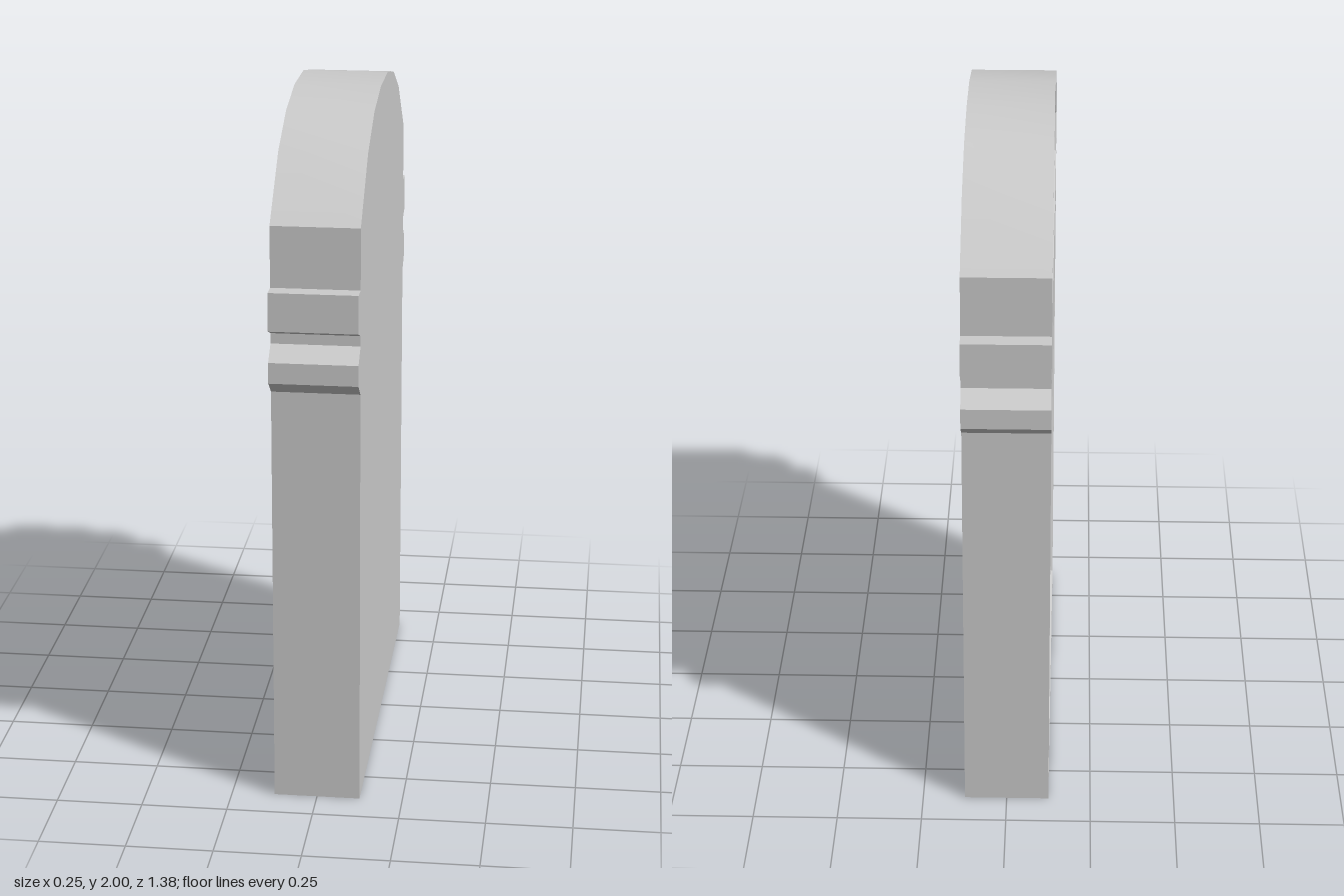
import * as THREE from 'three';
import { mergeGeometries, toCreasedNormals } from 'three/addons/utils/BufferGeometryUtils.js';

const HALF = 0.125;   // half thickness of the slab
const BORDER = 0.03;  // rim left around each recess
const BEVEL = 0.022;  // width and depth of the recess bevel

const pts = (list) => list.map(([u, v]) => new THREE.Vector2(u, v));

// Move every edge of a counter-clockwise loop inwards by d
function inset(loop, d) {
  const n = loop.length;
  return loop.map((p, i) => {
    const a = p.clone().sub(loop[(i + n - 1) % n]).normalize();
    const b = loop[(i + 1) % n].clone().sub(p).normalize();
    const na = new THREE.Vector2(-a.y, a.x), nb = new THREE.Vector2(-b.y, b.x);
    const k = d / (1 + na.dot(nb));
    return p.clone().add(na.add(nb).multiplyScalar(k));
  });
}

// Band of quads between two matching loops at two depths
function strip(a, za, b, zb) {
  const pos = [];
  a.forEach((p, i) => {
    const j = (i + 1) % a.length;
    const A = [p.x, p.y, za], B = [a[j].x, a[j].y, za];
    const C = [b[j].x, b[j].y, zb], D = [b[i].x, b[i].y, zb];
    pos.push(...A, ...B, ...C, ...A, ...C, ...D);
  });
  const g = new THREE.BufferGeometry();
  g.setAttribute('position', new THREE.Float32BufferAttribute(pos, 3));
  return g;
}

// Flat face at depth z, with optional holes
function face(loop, z, holes = []) {
  const shape = new THREE.Shape(loop);
  shape.holes = holes.map((h) => new THREE.Path(h));
  const g = new THREE.ShapeGeometry(shape).toNonIndexed();
  g.deleteAttribute('uv');
  g.deleteAttribute('normal');
  return g.translate(0, 0, z);
}

export function createModel() {
  const group = new THREE.Group();
  group.name = 'archedSlab';
  const material = new THREE.MeshStandardMaterial({ color: 0xcccccc });

  const add = (name, parts) => {
    const g = toCreasedNormals(mergeGeometries(parts), Math.PI / 6);
    g.rotateY(-Math.PI / 2); // the panelled face looks to -x
    const mesh = new THREE.Mesh(g, material);
    mesh.name = name;
    group.add(mesh);
  };
  const mirror = (half) => [...half, ...half.slice().reverse().map(([u, v]) => [-u, v])];

  // Half profiles, from bottom to top
  const arch = [[0.64, 1.72], [0.455, 1.885], [0.285, 1.965], [0.1, 2]];
  const ledges = [
    [0.64, 1.245], [0.692, 1.285], [0.692, 1.345], [0.64, 1.385],
    [0.64, 1.415], [0.692, 1.435], [0.692, 1.545], [0.64, 1.545],
  ];
  const outline = pts(mirror([[0.64, 0], ...ledges, ...arch]));
  const recesses = {
    lowerPanel: inset(pts(mirror([[0.64, 0], [0.64, 1.245]])), BORDER),
    archPanel: inset(pts(mirror([[0.64, 1.545], ...arch])), BORDER),
  };

  // Slab with its moulded sides, plain back and pierced face
  const back = face(outline, 0).rotateY(Math.PI).translate(0, 0, -HALF);
  add('slab', [
    strip(outline, -HALF, outline, HALF),
    face(outline, HALF, Object.values(recesses)),
    back,
  ]);

  // Sunken panels with bevelled rims
  for (const [name, rim] of Object.entries(recesses)) {
    const floor = inset(rim, BEVEL);
    add(name, [strip(rim, HALF, floor, HALF - BEVEL), face(floor, HALF - BEVEL)]);
  }
  return group;
}
